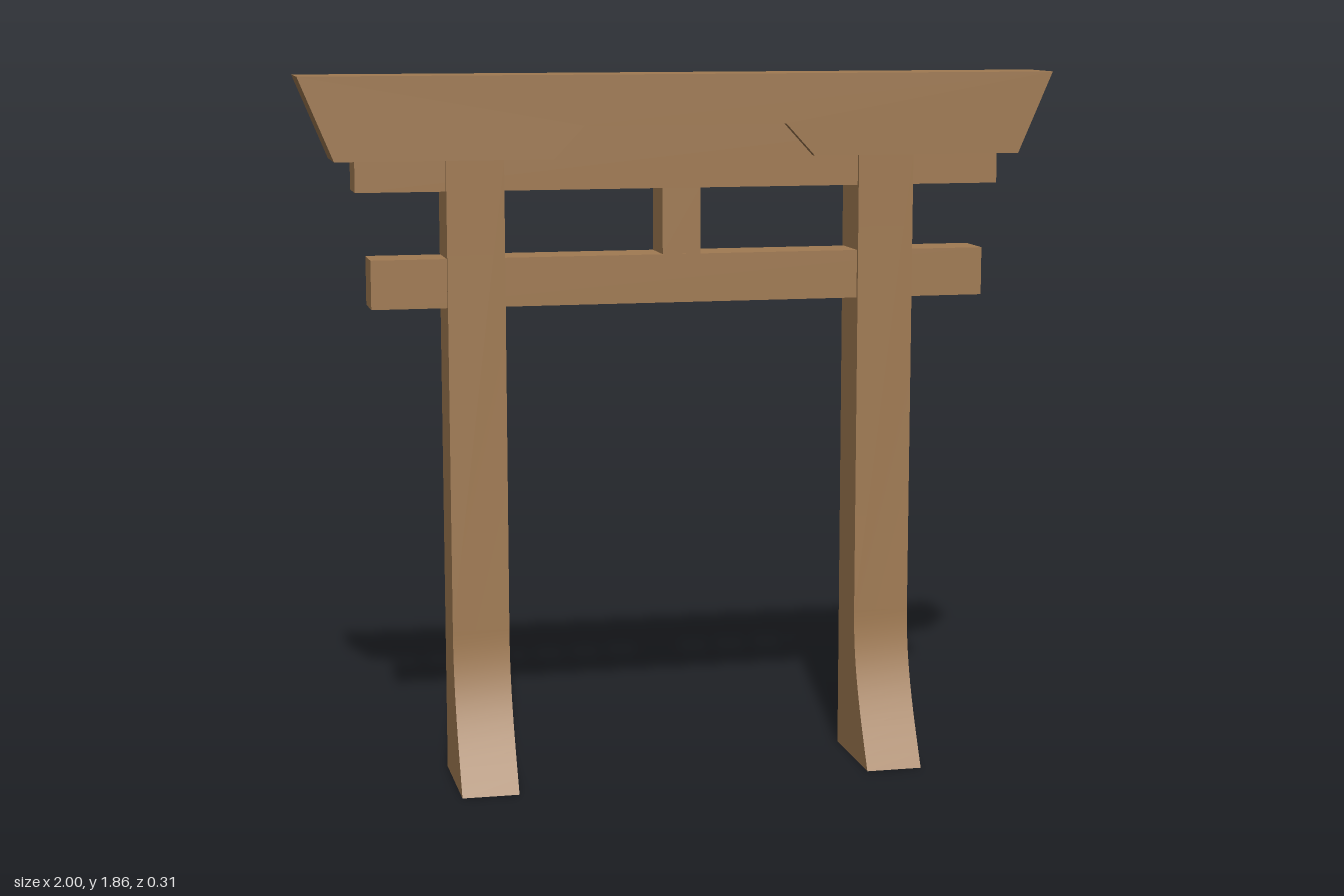
import * as THREE from 'three';
import { toCreasedNormals } from 'three/addons/utils/BufferGeometryUtils.js';

export function createModel() {
  const group = new THREE.Group();
  group.name = 'gate';
  const wood = new THREE.MeshStandardMaterial({ color: 0xa07a52 });
  wood.name = 'wood';

  const add = (name, geometry) => {
    const mesh = new THREE.Mesh(geometry, wood);
    mesh.name = name;
    group.add(mesh);
    return mesh;
  };

  // Box given by its limits on each axis
  const block = (name, [x0, x1], [y0, y1], [z0, z1]) => {
    const mesh = add(name, new THREE.BoxGeometry(x1 - x0, y1 - y0, z1 - z0));
    mesh.position.set((x0 + x1) / 2, (y0 + y1) / 2, (z0 + z1) / 2);
  };

  // Pillars: side profile with a foot that sweeps forward
  const profile = new THREE.Shape();
  profile.moveTo(-0.14, 0);
  profile.lineTo(0.153, 0);
  profile.bezierCurveTo(0.07, 0.15, 0.01, 0.26, 0.01, 0.41);
  profile.lineTo(0.01, 1.645);
  profile.lineTo(-0.14, 1.645);
  profile.closePath();
  const width = 0.15;
  const pillar = toCreasedNormals(
    new THREE.ExtrudeGeometry(profile, { depth: width, bevelEnabled: false, curveSegments: 12 })
      .translate(0, 0, -width / 2)
      .rotateY(-Math.PI / 2),
    0.5
  );
  add('rightPillar', pillar).position.x = -0.551;
  add('leftPillar', pillar).position.x = 0.545;

  // Top beam: slanted ends and a shallow notch underneath
  const lintel = new THREE.Shape([
    [-1, 1.86], [-0.911, 1.645], [-0.348, 1.645], [-0.268, 1.73],
    [0.267, 1.73], [0.345, 1.645], [0.907, 1.645], [1, 1.86],
  ].map(([x, y]) => new THREE.Vector2(x, y)));
  add('topBeam', new THREE.ExtrudeGeometry(lintel, { depth: 0.178, bevelEnabled: false }))
    .position.z = -0.152;

  // Cross beams and the short strut between them
  block('upperCrossBeam', [-0.858, 0.856], [1.565, 1.74], [-0.123, 0]);
  block('lowerCrossBeam', [-0.822, 0.818], [1.265, 1.392], [-0.126, 0]);
  block('centreStrut', [-0.058, 0.043], [1.392, 1.565], [-0.123, -0.002]);

  return group;
}
